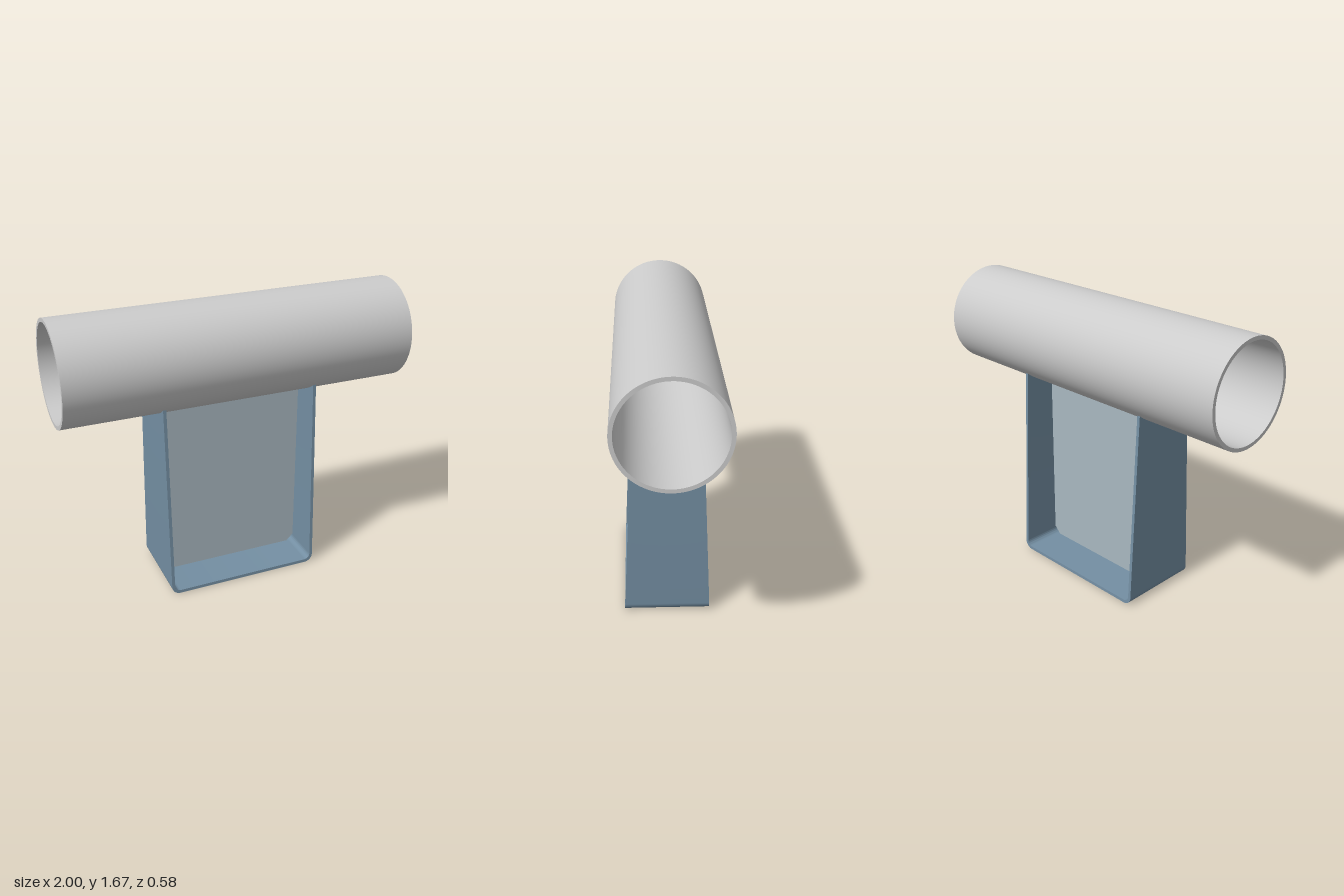
import * as THREE from 'three';
import { toCreasedNormals } from 'three/addons/utils/BufferGeometryUtils.js';

const PIPE_Y = 1.375, PIPE_R = 0.291, PIPE_WALL = 0.021;
const HALF_W = 0.455, THICK = 0.018, BEND = 0.05;

function part(name, geometry, color) {
  const mesh = new THREE.Mesh(toCreasedNormals(geometry, 0.5), new THREE.MeshStandardMaterial({ color }));
  mesh.name = name;
  return mesh;
}

// Hollow tube lying along x
function pipeGeometry() {
  const ri = PIPE_R - PIPE_WALL;
  const profile = [[PIPE_R, -1], [PIPE_R, 1], [ri, 1], [ri, -1], [PIPE_R, -1]];
  const g = new THREE.LatheGeometry(profile.map(p => new THREE.Vector2(...p)), 96);
  return g.rotateZ(Math.PI / 2).translate(0, PIPE_Y, 0);
}

// Bent U-shaped strap, tapered upwards, its ends cut to the pipe's curve
function strapGeometry() {
  const top = 1.156, w = HALF_W, wi = HALF_W - THICK, r = BEND, ri = BEND - THICK;
  const s = new THREE.Shape();
  s.moveTo(-w, top);
  s.lineTo(-w, r);
  s.absarc(-w + r, r, r, Math.PI, Math.PI * 1.5, false);
  s.lineTo(w - r, 0);
  s.absarc(w - r, r, r, Math.PI * 1.5, Math.PI * 2, false);
  s.lineTo(w, top);
  s.lineTo(wi, top);
  s.lineTo(wi, r);
  s.absarc(w - r, r, ri, 0, -Math.PI / 2, true);
  s.lineTo(-w + r, THICK);
  s.absarc(-w + r, r, ri, -Math.PI / 2, -Math.PI, true);
  s.lineTo(-wi, top);
  s.closePath();
  const g = new THREE.ExtrudeGeometry(s, { depth: 2, steps: 24, curveSegments: 10, bevelEnabled: false });
  g.translate(0, 0, -1);
  const p = g.attributes.position;
  for (let i = 0; i < p.count; i++) {
    const y = p.getY(i);
    const z = p.getZ(i) * (0.243 - 0.0459 * y);
    p.setZ(i, z);
    if (y > 1) p.setY(i, PIPE_Y - Math.sqrt(PIPE_R * PIPE_R - z * z));
  }
  return g;
}

// Central stiffening plate with clipped lower corners
function webGeometry() {
  const w = HALF_W - THICK, c = 0.042, top = PIPE_Y - PIPE_R + 0.004;
  const corners = [[-w, top], [-w, THICK + c], [-w + c, THICK], [w - c, THICK], [w, THICK + c], [w, top]];
  const s = new THREE.Shape(corners.map(p => new THREE.Vector2(...p)));
  return new THREE.ExtrudeGeometry(s, { depth: THICK, bevelEnabled: false }).translate(0, 0, -THICK / 2);
}

export function createModel() {
  const group = new THREE.Group();
  group.name = 'pipeSupport';
  group.add(
    part('pipe', pipeGeometry(), 0xcccccc),
    part('strap', strapGeometry(), 0x748fa3),
    part('webPlate', webGeometry(), 0xa9b8c0)
  );
  return group;
}
